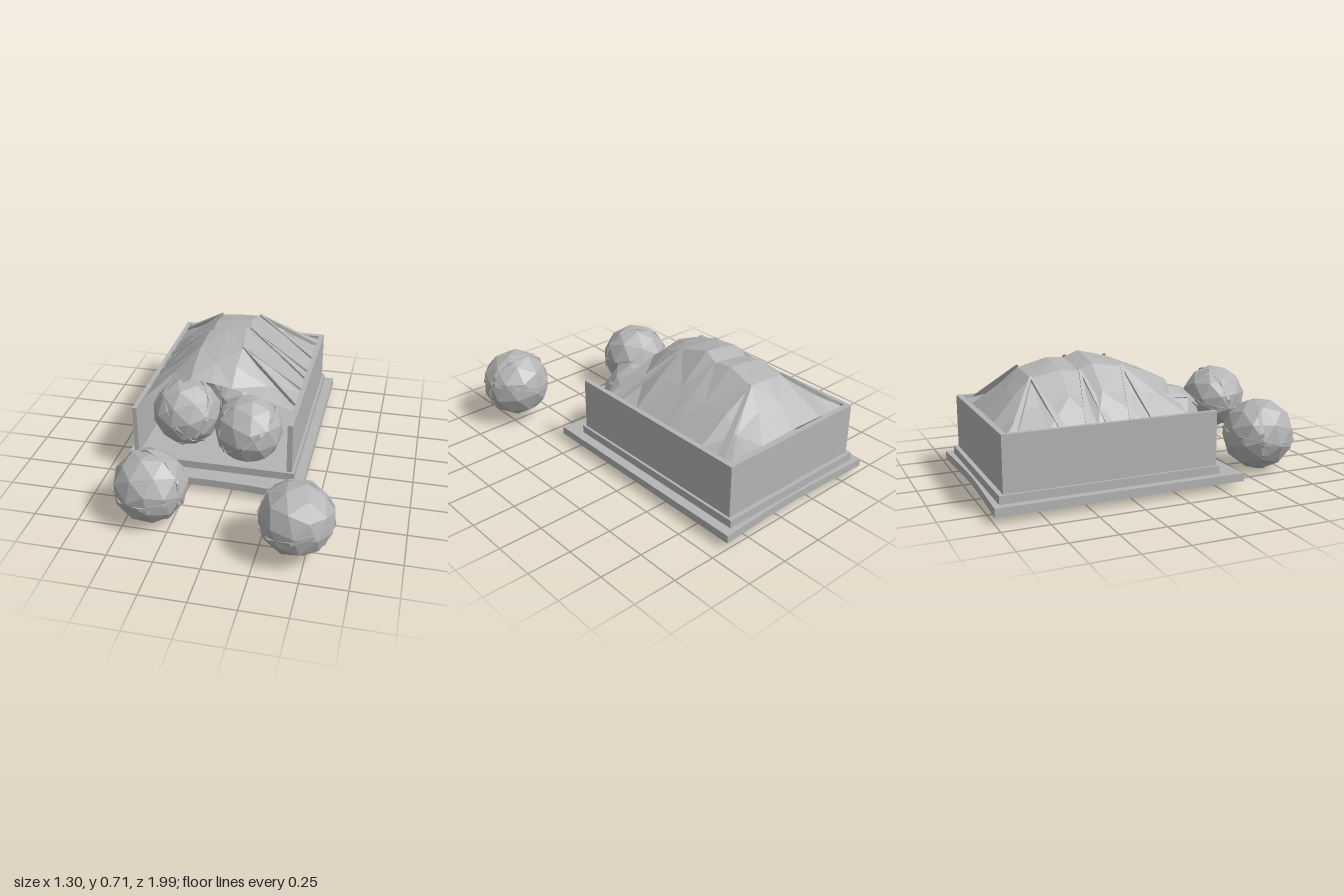
import * as THREE from 'three';

const grey = new THREE.MeshStandardMaterial({ color: 0xb4b4b4, flatShading: true, side: THREE.DoubleSide });
grey.name = 'plain grey';

function add(parent, name, geometry) {
  const mesh = new THREE.Mesh(geometry, grey);
  mesh.name = name;
  parent.add(mesh);
  return mesh;
}

// Box given by its limits on each axis
function box(parent, name, x0, x1, y0, y1, z0, z1) {
  add(parent, name, new THREE.BoxGeometry(x1 - x0, y1 - y0, z1 - z0))
    .position.set((x0 + x1) / 2, (y0 + y1) / 2, (z0 + z1) / 2);
}

// Surface through rows of points
function sheet(rows) {
  const n = rows[0].length, index = [];
  for (let r = 0; r < rows.length - 1; r++) {
    for (let c = 0; c < n - 1; c++) {
      const a = r * n + c, b = a + n;
      if ((r + c) % 2) index.push(a, b, a + 1, a + 1, b, b + 1);
      else index.push(a, b, b + 1, a, b + 1, a + 1);
    }
  }
  const g = new THREE.BufferGeometry();
  g.setAttribute('position', new THREE.Float32BufferAttribute(rows.flat(2), 3));
  g.setIndex(index);
  const flat = g.toNonIndexed();
  flat.computeVertexNormals();
  return flat;
}

// Cover stations: z, ridge left x and y, ridge right x and y
const stations = [
  [-0.91, -0.36, 0.44, 0.08, 0.44],
  [-0.79, -0.31, 0.55, -0.01, 0.55],
  [-0.69, -0.28, 0.63, -0.05, 0.645],
  [-0.53, -0.28, 0.66, -0.06, 0.69],
  [-0.43, -0.28, 0.645, -0.05, 0.68],
  [-0.35, -0.28, 0.68, -0.06, 0.715],
  [-0.18, -0.29, 0.655, -0.04, 0.67],
  [-0.05, -0.29, 0.62, -0.05, 0.615],
  [0.07, -0.29, 0.565, -0.05, 0.535],
];
const LEFT = -0.565, RIGHT = 0.3, EDGE = 0.42;

function coverRow([z, lx, ly, rx, ry], i) {
  const sag = i % 2 ? 0.012 : -0.008;
  const front = i === stations.length - 1;
  return [
    [LEFT, EDGE, front ? 0.085 : z],
    [(LEFT + lx) / 2, (EDGE + ly) / 2 + sag, z],
    [lx, ly, z],
    [(lx + rx) / 2, (ly + ry) / 2 + 0.005, z],
    [rx, ry, z],
    [(RIGHT + rx) / 2, (EDGE + ry) / 2 - sag, front ? 0.06 : z],
    [RIGHT, EDGE - 0.005, front ? 0.045 : z],
  ];
}

// Tapered pleat, a low ridge from the crown of the cover to its edge
function pleat(top, foot) {
  const rows = [0, 0.5, 1].map((t) => {
    const p = top.map((v, k) => v + (foot[k] - v) * t);
    const w = 0.006 + 0.012 * t, y = p[1] + 0.012;
    return [
      [p[0], y - 0.025, p[2] - w], [p[0], y, p[2] - w],
      [p[0], y, p[2] + w], [p[0], y - 0.025, p[2] + w],
    ];
  });
  return sheet(rows);
}

// Faceted ball with two crossing bands
function ball(parent, name, r, position, spin, normals) {
  const g = new THREE.Group();
  g.name = name;
  add(g, 'ballBody', new THREE.IcosahedronGeometry(r, 1)).rotation.set(...spin);
  normals.forEach((n, i) => {
    const profile = [[0.96, -0.05], [1.005, -0.05], [1.005, 0.05], [0.96, 0.05]]
      .map(([x, y]) => new THREE.Vector2(x * r, y * r));
    const band = add(g, 'ballBand', new THREE.LatheGeometry(profile, 10));
    band.quaternion.setFromUnitVectors(new THREE.Vector3(0, 1, 0), new THREE.Vector3(...n).normalize());
    band.rotateY(i * 0.3);
  });
  g.position.set(...position);
  parent.add(g);
}

export function createModel() {
  const model = new THREE.Group();
  model.name = 'coveredBin';

  // Base slab with slightly hollow ends
  const outline = new THREE.Shape([
    [-0.65, 1], [-0.3, 0.985], [-0.12, 0.98], [0.08, 0.985], [0.4, 1],
    [0.4, -0.375], [0.08, -0.35], [-0.12, -0.345], [-0.3, -0.35], [-0.65, -0.375],
  ].map(([x, y]) => new THREE.Vector2(x, y)));
  const slab = add(model, 'baseSlab', new THREE.ExtrudeGeometry(outline, { depth: 0.045, bevelEnabled: false }));
  slab.rotation.x = -Math.PI / 2;
  slab.position.y = 0.045;
  box(model, 'upperSlab', -0.605, 0.345, 0.09, 0.135, -0.965, 0.25);

  // Three walls, open at the front
  box(model, 'leftWall', 0.3, 0.33, 0.135, 0.435, -0.94, 0.235);
  box(model, 'rightWall', -0.59, -0.565, 0.135, 0.435, -0.94, 0.235);
  box(model, 'backWall', -0.565, 0.3, 0.135, 0.435, -0.94, -0.91);

  // Cloth cover
  const cover = new THREE.Group();
  cover.name = 'cover';
  model.add(cover);
  add(cover, 'coverCloth', sheet(stations.map(coverRow)));

  // Pleats: crown z, crown heights right and left, foot z on each side
  const fans = [
    [-0.69, 0.63, 0.645, [-0.87, -0.62], [-0.83, -0.63]],
    [-0.42, 0.645, 0.68, [-0.48, -0.37], [-0.45, -0.36]],
    [-0.185, 0.655, 0.67, [-0.24, -0.12], [-0.22, -0.03]],
  ];
  for (const [z, yl, yr, feetL, feetR] of fans) {
    for (const f of feetL) add(cover, 'pleat', pleat([-0.285, yl, z], [LEFT, EDGE, f]));
    for (const f of feetR) add(cover, 'pleat', pleat([-0.045, yr, z], [RIGHT, EDGE, f]));
  }

  // Balls inside the bin and on the ground in front
  ball(model, 'outerRightBall', 0.205, [-0.37, 0.213, 0.627], [0.3, 0.2, 0.1], [[-0.08, 1, 0.12], [-0.39, 0.1, 0.92]]);
  ball(model, 'outerLeftBall', 0.2, [0.447, 0.247, 0.785], [0.1, 0.7, 0.3], [[-0.26, 0.95, 0.1], [0.05, 0.3, 1]]);
  ball(model, 'innerRightBall', 0.198, [-0.32, 0.35, 0.055], [0.5, 0.1, 0.6], [[0.8, 0.6, 0.1], [-0.6, 0.5, 0.6]]);
  ball(model, 'innerLeftBall', 0.198, [0.055, 0.305, 0.1], [0.2, 0.5, 0.4], [[-0.6, 0.8, 0.1], [0.6, 0.2, 0.7]]);
  ball(model, 'rearBall', 0.198, [-0.1, 0.335, -0.25], [0.7, 0.3, 0], [[0.2, 1, 0.2], [1, 0.1, 0.3]]);

  return model;
}
